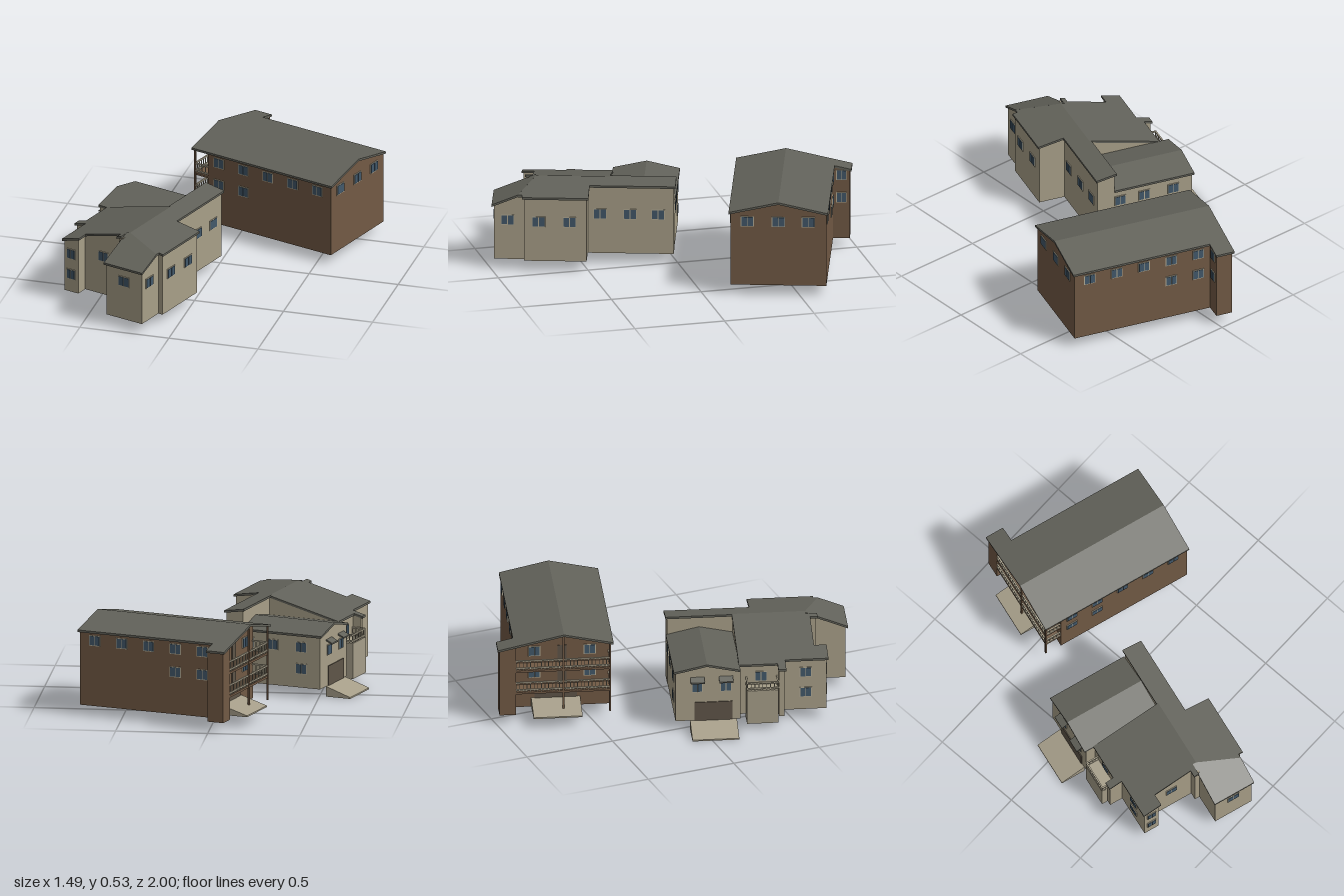
import * as THREE from 'three';

const mat = (name, color) => {
  const m = new THREE.MeshStandardMaterial({ color });
  m.name = name;
  return m;
};

export function createModel() {
  const tan = mat('tan siding', 0xa89f88);
  const brown = mat('brown siding', 0x725a45);
  const roofGrey = mat('roof grey', 0x62625a);
  const trim = mat('pale trim', 0xb3ab95);
  const glass = mat('window glass', 0x42586a);
  const doorMat = mat('door brown', 0x5f5548);
  const concrete = mat('concrete', 0xa69e89);

  const model = new THREE.Group();
  model.name = 'twoHouses';
  model.rotation.y = -0.302; // both houses stand at an angle to the frame

  const FLOOR = 0.056, T = 0.012;
  const num = (f) => (typeof f === 'number' ? () => f : f);

  // Upright solid over a plan outline [x, z]; bottom and top follow height rules
  function prism(name, material, pts, bottom, top, parent = model) {
    const lo = num(bottom), hi = num(top);
    const shape = new THREE.Shape(pts.map(([x, z]) => new THREE.Vector2(x, -z)));
    const g = new THREE.ExtrudeGeometry(shape, { depth: 1, bevelEnabled: false });
    g.rotateX(-Math.PI / 2);
    const p = g.attributes.position;
    for (let i = 0; i < p.count; i++) {
      const x = p.getX(i), z = p.getZ(i);
      p.setY(i, p.getY(i) > 0.5 ? hi(x, z) : lo(x, z));
    }
    g.computeVertexNormals();
    const m = new THREE.Mesh(g, material);
    m.name = name;
    parent.add(m);
  }
  const rect = (x0, x1, z0, z1) => [[x0, z0], [x1, z0], [x1, z1], [x0, z1]];
  const roof = (name, pts, h) => prism(name, roofGrey, pts, (x, z) => h(x, z) - T, h);
  const walls = (name, material, pts, h) => prism(name, material, pts, FLOOR, (x, z) => h(x, z) - T);

  function box(name, material, x0, x1, y0, y1, z0, z1, parent = model) {
    const m = new THREE.Mesh(new THREE.BoxGeometry(x1 - x0, y1 - y0, z1 - z0), material);
    m.position.set((x0 + x1) / 2, (y0 + y1) / 2, (z0 + z1) / 2);
    m.name = name;
    parent.add(m);
  }

  // Facing directions as turns about the upright axis
  const S = 0, E = Math.PI / 2, N = Math.PI, W = -Math.PI / 2;

  // Thin frame with two panes
  function windowAt(x, y, z, dir, w = 0.066, h = 0.058) {
    const g = new THREE.Group();
    g.name = 'window';
    g.position.set(x, y, z);
    g.rotation.y = dir;
    box('windowFrame', trim, -w / 2, w / 2, -h / 2, h / 2, -0.002, 0.004, g);
    const b = 0.004, half = w / 2 - 1.5 * b;
    for (const s of [-1, 1]) {
      const c = s * (b / 2 + half / 2);
      box('windowPane', glass, c - half / 2, c + half / 2, -h / 2 + b, h / 2 - b, 0, 0.006, g);
    }
    model.add(g);
  }

  // Railing with balusters between two plan points
  function railing(x0, z0, x1, z1, y, h = 0.06) {
    const len = Math.hypot(x1 - x0, z1 - z0);
    const g = new THREE.Group();
    g.name = 'railing';
    g.position.set(x0, y, z0);
    g.rotation.y = -Math.atan2(z1 - z0, x1 - x0);
    for (const r of [0.008, h - 0.008]) box('rail', trim, 0, len, r, r + 0.008, -0.004, 0.004, g);
    const n = Math.max(3, Math.round(len / 0.02));
    for (let i = 0; i <= n; i++) {
      const c = (len * i) / n;
      box('baluster', trim, c - 0.002, c + 0.002, 0, h, -0.002, 0.002, g);
    }
    model.add(g);
  }

  // ---------- Brown house ----------
  const R = -0.568;
  const hB = (x, z) => 0.53 - 0.22 * Math.abs(z - R);
  roof('brownRoofFront', rect(-0.382, 0.522, R, -0.299), hB);
  roof('brownRoofBack', [[-0.382, R], [0.522, R], [0.522, -0.836], [-0.275, -0.836],
    [-0.275, -0.927], [-0.382, -0.927]], hB);
  walls('brownWallsFront', brown, rect(-0.28, 0.512, R, -0.309), hB);
  walls('brownWallsBack', brown, rect(-0.28, 0.512, -0.827, R), hB);
  walls('brownStairTower', brown, rect(-0.372, -0.28, -0.917, -0.827), hB);

  for (const [z, dir] of [[-0.309, S], [-0.827, N]]) {
    for (let i = 0; i < 5; i++) windowAt(-0.211 + 0.159 * i, 0.418, z, dir);
    for (const x of [-0.211, -0.052]) windowAt(x, 0.29, z, dir);
  }
  for (const z of [-0.4, R, -0.73]) windowAt(0.512, 0.418, z, E, 0.072);
  for (const y of [0.29, 0.418]) windowAt(-0.28, y, -0.872, E, 0.056);

  // Balconies under the roof overhang
  for (const y of [0.19, 0.32]) {
    box('balconyDeck', brown, -0.372, -0.28, y - 0.012, y, -0.827, -0.315);
    railing(-0.368, -0.827, -0.368, -0.317, y);
    railing(-0.368, -0.317, -0.28, -0.317, y);
    for (const z of [-0.72, -0.42]) windowAt(-0.28, y + 0.07, z, W);
    box('balconyDoor', doorMat, -0.284, -0.279, y, y + 0.1, -0.595, -0.545);
  }
  for (const z of [-0.57, -0.317]) box('balconyPost', brown, -0.374, -0.364, FLOOR, hB(0, z) - T, z - 0.005, z + 0.005);
  box('garageDoor', doorMat, -0.285, -0.279, FLOOR, 0.165, -0.72, -0.49);
  prism('brownRamp', concrete, rect(-0.434, -0.282, -0.737, -0.472), FLOOR,
    (x) => 0.064 + 0.3 * (x + 0.434));

  // ---------- Tan house ----------
  const K = -0.075;
  const hWest = (x) => 0.46 - 0.26 * (K - x);
  const hEast = (x) => 0.46 - 0.16 * (x - K);
  const hHip = (x, z) => 0.365 + 0.41 * (1 - z);
  const hGarage = (x, z) => 0.392 - 0.22 * Math.abs(z - 0.192);

  roof('mainRoofWest', [[K, 0.37], [-0.484, 0.37], [-0.484, 0.58], [-0.532, 0.58], [-0.532, 0.623],
    [-0.457, 0.623], [-0.457, 0.858], [-0.348, 0.858], [-0.348, 0.79], [-0.123, 0.79],
    [-0.123, 0.83], [-0.095, 0.83], [-0.095, 0.768], [K, 0.768]], hWest);
  roof('mainRoofEast', [[-0.085, 0.01], [0.033, 0.01], [0.033, 0.474], [0.18, 0.474], [0.18, 0.833],
    [0.153, 0.833], [0.153, 0.857], [K, 0.768], [K, 0.37], [-0.085, 0.37]], hEast);
  roof('hipRoof', [[-0.095, 0.768], [K, 0.768], [0.153, 0.857], [0.153, 0.998], [-0.095, 0.998]], hHip);
  walls('mainWallsWest', tan, [[K, 0.375], [-0.475, 0.375], [-0.475, 0.585], [-0.522, 0.585], [-0.522, 0.613],
    [-0.447, 0.613], [-0.447, 0.848], [-0.358, 0.848], [-0.358, 0.78], [-0.113, 0.78],
    [-0.113, 0.82], [-0.085, 0.82], [-0.085, 0.768], [K, 0.768]], hWest);
  walls('mainWallsEast', tan, [[K, 0.02], [0.023, 0.02], [0.023, 0.484], [0.17, 0.484], [0.17, 0.823],
    [0.143, 0.823], [0.143, 0.853], [K, 0.768]], hEast);
  walls('hipWalls', tan, [[-0.085, 0.768], [K, 0.768], [0.143, 0.853], [0.143, 0.985], [-0.085, 0.985]], hHip);

  // Lower gabled wing
  for (const [z0, z1, w0, w1] of [[0.012, 0.192, 0.022, 0.192], [0.192, 0.374, 0.192, 0.374]]) {
    roof('wingRoof', rect(-0.54, K, z0, z1), hGarage);
    walls('wingWalls', tan, rect(-0.53, K, w0, w1), hGarage);
  }
  for (const z of [0.14, 0.295]) {
    windowAt(-0.53, 0.255, z, W, 0.06);
    prism('windowHood', roofGrey, rect(-0.565, -0.528, z - 0.038, z + 0.038),
      (x) => 0.29 + 0.5 * (x + 0.565), (x) => 0.298 + 0.5 * (x + 0.565));
  }
  box('wingDoor', doorMat, -0.535, -0.529, FLOOR, 0.165, 0.125, 0.33);
  prism('wingRamp', concrete, rect(-0.672, -0.53, 0.101, 0.355), 0,
    (x) => 0.008 + 0.34 * (x + 0.672));

  // Entrance box with a railed terrace on top
  box('terraceBox', concrete, -0.553, -0.47, 0.033, 0.23, 0.408, 0.579);
  railing(-0.549, 0.41, -0.549, 0.577, 0.23, 0.05);
  railing(-0.549, 0.41, -0.477, 0.41, 0.23, 0.05);
  railing(-0.549, 0.577, -0.477, 0.577, 0.23, 0.05);
  windowAt(-0.475, 0.28, 0.49, W);

  // Tan house windows
  windowAt(-0.239, 0.28, 0.78, S);
  windowAt(0.028, 0.28, 0.985, S, 0.072);
  for (const y of [0.16, 0.28]) {
    windowAt(-0.404, y, 0.848, S, 0.054);
    windowAt(-0.447, y, 0.735, W);
  }
  windowAt(0.143, 0.28, 0.912, E, 0.072);
  for (const z of [0.743, 0.576]) windowAt(0.17, 0.28, z, E, 0.072);
  for (const z of [0.418, 0.256, 0.104]) windowAt(0.023, 0.28, z, E, 0.072);
  for (const x of [-0.11, -0.25, -0.42]) windowAt(x, 0.28, x > -0.1 ? 0.02 : 0.022, N);
  windowAt(-0.42, 0.16, 0.022, N);

  const root = new THREE.Group();
  root.name = 'model';
  root.add(model);
  return root;
}
